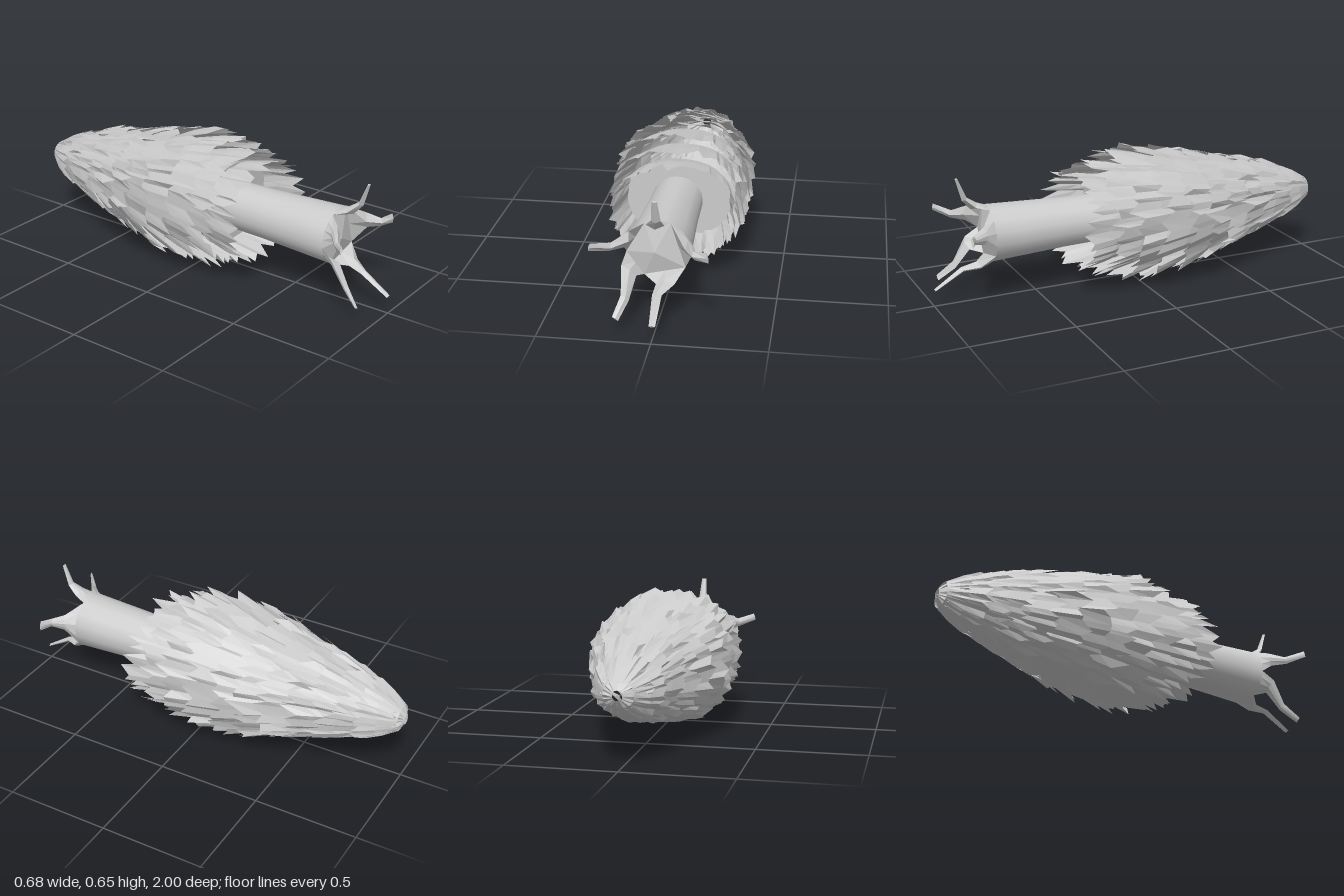
import * as THREE from 'three';

const CY = 0.33; // height of the long axis

function seeded(seed) {
  return () => {
    seed = (seed * 1664525 + 1013904223) % 4294967296;
    return seed / 4294967296;
  };
}

// Skin a list of equal-length closed rings of [x, y, z] points
function loft(rings, flat) {
  const n = rings[0].length;
  const index = [];
  for (let r = 0; r < rings.length - 1; r++) {
    for (let i = 0; i < n; i++) {
      const a = r * n + i, b = r * n + ((i + 1) % n), c = a + n, d = b + n;
      index.push(a, b, d, a, d, c);
    }
  }
  let geo = new THREE.BufferGeometry();
  geo.setAttribute('position', new THREE.Float32BufferAttribute(rings.flat(2), 3));
  geo.setIndex(index);
  if (flat) geo = geo.toNonIndexed();
  geo.computeVertexNormals();
  return geo;
}

// Slightly squared circle
const squared = (v) => Math.sign(v) * Math.abs(v) ** 0.86;

export function createModel() {
  const model = new THREE.Group();
  const rand = seeded(7);
  const grey = new THREE.MeshStandardMaterial({ color: 0xcccccc, side: THREE.DoubleSide });
  const faceted = new THREE.MeshStandardMaterial({ color: 0xcccccc, side: THREE.DoubleSide, flatShading: true });
  const add = (name, geo, mat, parent = model) => {
    const mesh = new THREE.Mesh(geo, mat);
    mesh.name = name;
    parent.add(mesh);
    return mesh;
  };

  // Foliage skirts from crown to base: hem z, half-width, half-height
  const tiers = [
    [-0.95, 0.085, 0.07], [-0.88, 0.125, 0.1], [-0.81, 0.16, 0.135],
    [-0.71, 0.18, 0.17], [-0.61, 0.21, 0.2], [-0.51, 0.245, 0.22],
    [-0.4, 0.285, 0.24], [-0.28, 0.325, 0.265], [-0.16, 0.33, 0.295],
    [-0.03, 0.325, 0.315], [0.1, 0.32, 0.295], [0.21, 0.315, 0.255], [0.31, 0.285, 0.215],
  ];
  const foliage = new THREE.Group();
  foliage.name = 'foliage';
  model.add(foliage);

  tiers.forEach(([hem, rx, ry], k) => {
    const columns = 2 * Math.round(13 + rx * 50);
    const size = Math.min(1, rx / 0.25);
    const back = tiers[Math.max(0, k - 2)];
    const start = k < 2 ? -1 : back[0] - 0.03;
    const sx = k < 2 ? 0.022 : Math.min(back[1], rx) * 0.8;
    const sy = k < 2 ? 0.022 : Math.min(back[2], ry) * 0.8;
    const rows = [[], [], []];
    const phase = rand() * 6;
    for (let i = 0; i < columns; i++) {
      // alternating tips and notches, with uneven spacing, reach and lift
      const tip = i % 2 ? 1 : -1;
      const a = phase + ((i + (rand() - 0.5) * 0.7) / columns) * Math.PI * 2;
      const c = squared(Math.cos(a)), s = squared(Math.sin(a));
      const lift = (tip * 0.007 + (rand() - 0.5) * 0.022) * size;
      const ex = rx + lift, ey = ry + lift;
      const end = hem + (tip * 0.025 + (rand() - 0.5) * 0.07) * size;
      rows[0].push([c * sx, CY + s * sy, start]);
      rows[1].push([
        c * (sx * 0.42 + ex * 0.58), CY + s * (sy * 0.42 + ey * 0.58), (start + end) / 2,
      ]);
      rows[2].push([c * ex, CY + s * ey, end]);
    }
    add('leafTier' + (k + 1), loft(rows, true), faceted, foliage);
  });

  // Flat underside closing the foliage around the trunk
  const disc = add('foliageUnderside', new THREE.CircleGeometry(1, 40), grey);
  disc.scale.set(0.27, 0.2, 1);
  disc.position.set(0, CY, 0.14);

  // Roots between neighbouring valleys of the trunk end:
  // angles of both valleys, elbow point, tip point, tip width
  const roots = [
    [-35, 68, [0.165, 0.36, 0.85], [0.225, 0.365, 0.875], 0.05],
    [68, 116, [0, 0.505, 0.835], [0, 0.605, 0.87], 0.024],
    [116, 186, [-0.2, 0.375, 0.84], [-0.275, 0.398, 0.905], 0.035],
    [186, 243, [-0.135, 0.145, 0.855], [-0.165, 0.08, 0.93], 0.032],
    [243, 325, [0.006, 0.17, 0.86], [0.005, 0.088, 0.995], 0.028],
  ];
  const STEPS = 4; // wall columns per root
  const wallPoint = (deg, r, z) => {
    const a = THREE.MathUtils.degToRad(deg);
    return [Math.cos(a) * r * 1.06 - 0.005, 0.325 + Math.sin(a) * r, z];
  };
  const arc = ([from, to], r, z, count) => Array.from({ length: count }, (_, i) =>
    wallPoint(from + ((to - from) * i) / STEPS, r, z));
  const trunkRing = (r, z) => roots.flatMap((root) => arc(root, r, z, STEPS));

  // Trunk and its five-sided end
  add('trunk', loft([
    trunkRing(0.113, 0.1), trunkRing(0.118, 0.35), trunkRing(0.129, 0.6), trunkRing(0.135, 0.73),
  ], false), grey);
  const endRing = roots.map(([from]) => wallPoint(from, 0.135, 0.73));
  add('trunkEnd', loft([endRing, endRing.map(() => [-0.02, 0.32, 0.755])], true), faceted);

  roots.forEach(([from, to, elbow, tip, tipWidth], k) => {
    const rim = arc([from, to], 0.135, 0.73, STEPS + 1);
    const chord = rim[0].map((v, i) => (v + rim[STEPS][i]) / 2);
    const mid = wallPoint((from + to) / 2, 0.14, 0.79);
    const path = [mid, elbow, tip].map((p) => new THREE.Vector3(...p));
    const a = Math.atan2(tip[1] - 0.325, tip[0]);
    const side = new THREE.Vector3(-Math.sin(a), Math.cos(a), 0);
    const widths = [0.08, 0.042, tipWidth];
    const depths = [0.04, 0.026, 0.012];
    const rings = path.map((p, i) => {
      const along = path[Math.min(i + 1, 2)].clone().sub(path[Math.max(i - 1, 0)]).normalize();
      const up = side.clone().cross(along).normalize();
      // rounded outer face and a keel on the inner face
      return [[-0.5, 0], [-0.25, 0.35], [0, 0.5], [0.25, 0.35], [0.5, 0], [0, -0.5]].map(([w, h]) =>
        p.clone().addScaledVector(side, w * widths[i]).addScaledVector(up, h * depths[i]).toArray());
    });
    // flare into the trunk wall, and close the tip
    add('root' + (k + 1), loft([[...rim, chord], ...rings, rings[2].map(() => tip)], true), faceted);
  });

  return model;
}
